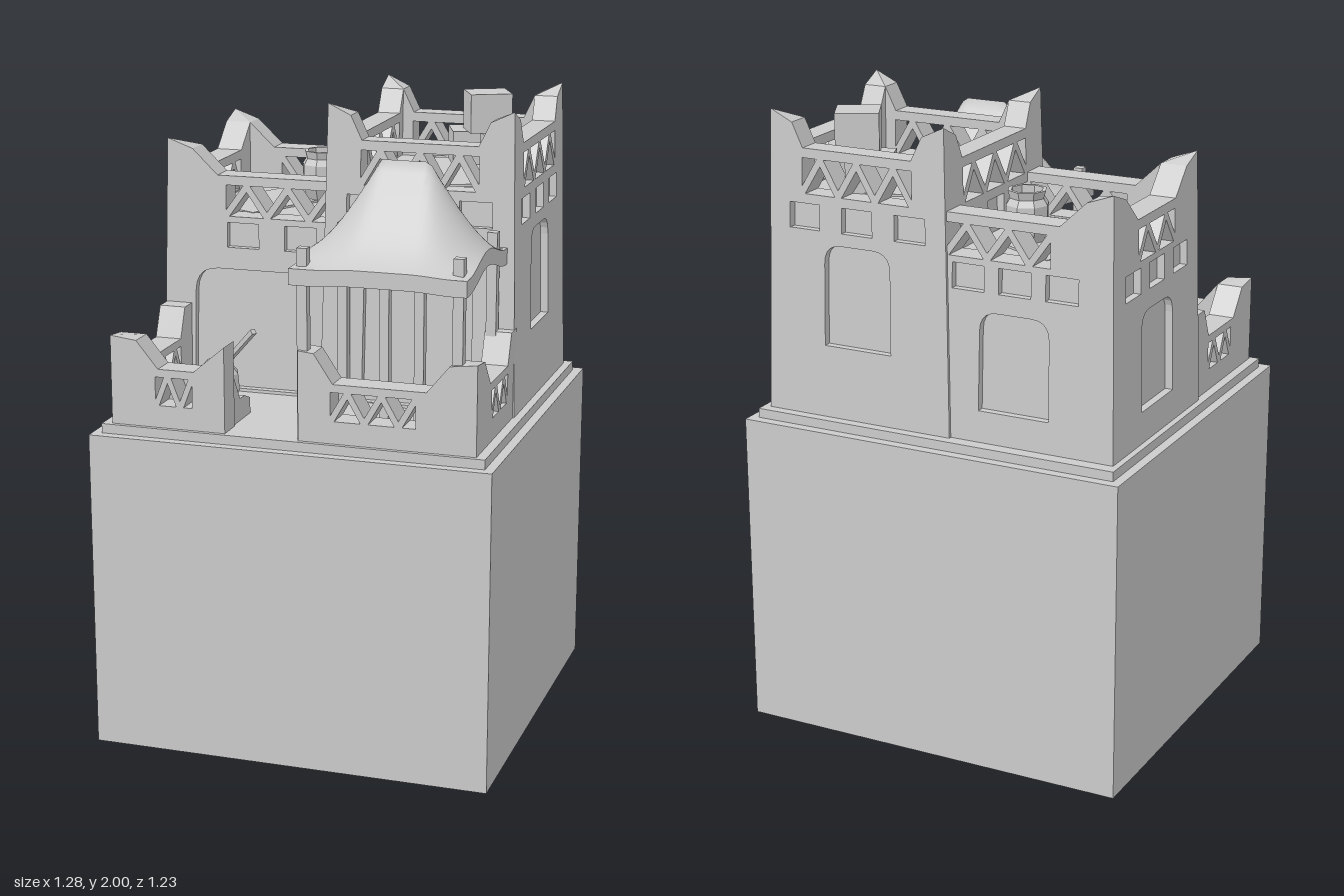
import * as THREE from 'three';

const mat = new THREE.MeshStandardMaterial({ color: 0xcccccc, side: THREE.DoubleSide });
const FLOOR = 1.05;

function add(parent, name, geo, x = 0, y = 0, z = 0, ry = 0) {
  const m = new THREE.Mesh(geo, mat);
  m.name = name;
  m.position.set(x, y, z);
  m.rotation.y = ry;
  parent.add(m);
  return m;
}
const box = (w, h, d) => new THREE.BoxGeometry(w, h, d);
const poly = (pts) => new THREE.Path(pts.map((p) => new THREE.Vector2(p[0], p[1])));

// Openings cut into walls
const rect = (u, w, y0, y1) => poly([[u - w / 2, y0], [u + w / 2, y0], [u + w / 2, y1], [u - w / 2, y1]]);
function arch(u, w, y0, y1, r = 0.06) {
  const p = new THREE.Path(), a = u - w / 2, b = u + w / 2;
  p.moveTo(a, y0).lineTo(b, y0).lineTo(b, y1 - r);
  p.quadraticCurveTo(b, y1, b - r, y1).lineTo(a + r, y1);
  p.quadraticCurveTo(a, y1, a, y1 - r).lineTo(a, y0);
  return p;
}
// Row of alternating triangular openings that leaves zigzag bars
function truss(u0, u1, y0, y1, n) {
  const s = (u1 - u0) / n, t = 0.012, holes = [];
  for (let i = 0; i <= n; i++) {
    const c = u0 + i * s, up = i % 2 === 1;
    const base = up ? y0 : y1, tip = up ? y1 - 0.2 * (y1 - y0) : y0 + 0.2 * (y1 - y0);
    const a = i === 0 ? c : c - s + t, b = i === n ? c : c + s - t;
    holes.push(poly([[a, base], [b, base], [c, tip]]));
  }
  return holes;
}

// Wall with its outer face on local z = 0. Ends: { peak, shoulder, flat, run, mitre }
function wallGeometry(w, t, rail, left, right, holes) {
  const h = w / 2, pts = [[-h, FLOOR - 0.01], [h, FLOOR - 0.01]];
  pts.push([h, right.peak]);
  if (right.flat) pts.push([h - right.flat, right.shoulder]);
  if (right.run) pts.push([h - right.flat - right.run, rail]);
  if (left.run) pts.push([-h + left.flat + left.run, rail]);
  if (left.flat) pts.push([-h + left.flat, left.shoulder]);
  pts.push([-h, left.peak]);
  const shape = new THREE.Shape(pts.map((p) => new THREE.Vector2(p[0], p[1])));
  shape.holes = holes;
  const geo = new THREE.ExtrudeGeometry(shape, { depth: t, bevelEnabled: false, curveSegments: 5 });
  geo.translate(0, 0, -t);
  // Mitre the inner corner so that horns of two walls meet in a hip
  const p = geo.attributes.position;
  for (let i = 0; i < p.count; i++) {
    if (p.getZ(i) > -t + 1e-4) continue;
    const u = p.getX(i);
    if (left.mitre && u < -h + t - 1e-5) p.setXY(i, -h + t, Math.min(p.getY(i), left.shoulder));
    if (right.mitre && u > h - t + 1e-5) p.setXY(i, h - t, Math.min(p.getY(i), right.shoulder));
  }
  return geo;
}

// Lean tower walls inwards with height
function taper(geo) {
  const p = geo.attributes.position;
  for (let i = 0; i < p.count; i++) {
    const s = 1 - 0.068 * (p.getY(i) - FLOOR) / 0.95;
    p.setX(i, p.getX(i) * s);
    p.setZ(i, p.getZ(i) * s);
  }
  geo.computeVertexNormals();
  return geo;
}

function tower(root, name, cx, cz, w, d, roof, walls) {
  const g = new THREE.Group();
  g.name = name;
  g.position.set(cx, 0, cz);
  root.add(g);
  const core = box(w - 0.05, roof - FLOOR, d - 0.05);
  core.translate(0, (roof + FLOOR) / 2, 0);
  add(g, 'towerCore', taper(core));
  for (const k of walls) {
    const geo = wallGeometry(k.turn % 2 ? d : w, k.t, k.rail, k.left, k.right, k.holes);
    geo.translate(0, 0, (k.turn % 2 ? w : d) / 2);
    geo.rotateY(k.turn * Math.PI / 2);
    add(g, k.name, taper(geo));
  }
}

function createModel() {
  const root = new THREE.Group();
  root.name = 'adobeHouse';

  // Hollow plinth, open underneath
  const base = box(1.28, 1.02, 1.23);
  const idx = Array.from(base.index.array);
  idx.splice(18, 6);
  base.setIndex(idx);
  add(root, 'plinth', base, 0, 0.51, 0);
  add(root, 'floorSlab', box(1.22, 0.03, 1.165), 0, 1.035, 0);

  // Tall tower
  const tall = { peak: 2.0, shoulder: 1.965, flat: 0.08, run: 0.04, mitre: true };
  const names = ['frontWall', 'leftWall', 'backWall', 'rightWall'];
  tower(root, 'tallTower', 0.2675, -0.2075, 0.635, 0.685, 1.745, [0, 1, 2, 3].map((turn) => {
    const r = turn % 2 ? 0.22 : 0.2;
    const holes = truss(-r, r, 1.75, 1.86, 6);
    for (const u of [-0.19, 0, 0.19]) holes.push(rect(u, 0.11, 1.64, 1.72));
    if (turn === 0) holes.push(arch(0, 0.36, 1.06, 1.53));
    else if (turn < 3) holes.push(arch(0, 0.235, 1.28, 1.6));
    return { name: names[turn], turn, t: 0.08, rail: 1.89, left: tall, right: tall, holes };
  }));

  // Low tower, running into the tall one
  const low = { peak: 1.86, shoulder: 1.83, flat: 0.09, run: 0.09, mitre: true };
  const plain = { peak: 1.75, flat: 0, run: 0 };
  const lowHoles = (a, b, n, wins) => [...truss(a, b, 1.62, 1.72, n), ...wins.map((u) => rect(u, 0.11, 1.52, 1.6))];
  tower(root, 'lowTower', -0.28, -0.215, 0.62, 0.65, 1.615, [
    { name: 'frontWall', turn: 0, t: 0.09, rail: 1.75, left: low, right: plain,
      holes: [...lowHoles(-0.1, 0.26, 5, [-0.04, 0.16]), arch(0.02, 0.45, 1.06, 1.45, 0.08)] },
    { name: 'backWall', turn: 2, t: 0.09, rail: 1.75, left: plain, right: low,
      holes: [...lowHoles(-0.26, 0.1, 5, [-0.18, -0.02, 0.14]), arch(-0.02, 0.235, 1.15, 1.46)] },
    { name: 'rightWall', turn: 3, t: 0.09, rail: 1.75, left: low, right: low,
      holes: [...lowHoles(-0.14, 0.14, 4, [-0.18, 0, 0.18]), arch(0, 0.235, 1.15, 1.46)] },
  ]);

  // Courtyard walls
  const corner = { peak: 1.33, shoulder: 1.32, flat: 0.085, run: 0.07, mitre: true };
  const gate = { peak: 1.32, flat: 0, run: 0.1 };
  const stub = { peak: 1.33, shoulder: 1.325, flat: 0.05, run: 0.06 };
  const joint = { peak: 1.33, shoulder: 1.33, flat: 0.065, run: 0.04 };
  const yard = (name, w, left, right, holes, x, z, ry) => {
    const geo = wallGeometry(w, 0.085, 1.235, left, right, holes);
    geo.computeVertexNormals();
    add(root, name, geo, x, 0, z, ry);
  };
  yard('courtyardFrontRight', 0.37, corner, gate, truss(-0.04, 0.08, 1.12, 1.21, 3), -0.395, 0.568, 0);
  yard('courtyardFrontLeft', 0.555, stub, corner, truss(-0.175, 0.09, 1.12, 1.21, 5), 0.3025, 0.568, 0);
  yard('courtyardLeft', 0.468, corner, joint, truss(-0.06, 0.13, 1.12, 1.21, 4), 0.58, 0.334, Math.PI / 2);
  yard('courtyardRight', 0.468, joint, corner, truss(-0.13, 0.06, 1.12, 1.21, 4), -0.58, 0.334, -Math.PI / 2);

  // Stepped bench behind the gate wall
  const seat = new THREE.Shape([[0.33, 1.05], [0.49, 1.05], [0.49, 1.2], [0.47, 1.2], [0.42, 1.12], [0.38, 1.12], [0.33, 1.1]]
    .map((p) => new THREE.Vector2(-p[0], p[1])));
  const bench = new THREE.ExtrudeGeometry(seat, { depth: 0.285, bevelEnabled: false });
  add(root, 'bench', bench, -0.5, 0, 0, Math.PI / 2);

  // Sagging cloth canopy, draped over a short ridge
  const cloth = new THREE.BoxGeometry(0.545, 0.05, 0.48, 28, 1, 24);
  const p = cloth.attributes.position;
  for (let i = 0; i < p.count; i++) {
    const ex = Math.max(0, Math.abs(p.getX(i) - 0.015) - 0.075);
    const r = Math.min(1, Math.hypot(ex, p.getZ(i)) / 0.28);
    p.setY(i, p.getY(i) + 1.855 - 0.295 * Math.sin(r * Math.PI / 2));
  }
  cloth.computeVertexNormals();
  add(root, 'canopy', cloth, 0.278, 0, 0.352);
  for (const x of [0.035, 0.515]) for (const z of [0.155, 0.54]) {
    add(root, 'canopyPost', box(0.032, 0.59, 0.032), x, FLOOR + 0.295, z);
  }
  for (const x of [0.235, 0.345]) add(root, 'ridgePost', box(0.03, 0.78, 0.03), x, FLOOR + 0.39, 0.36);

  // Rugs
  add(root, 'roofRugTall', box(0.2, 0.012, 0.473), 0.33, 1.746, -0.22, 0.345);
  add(root, 'roofRugLow', box(0.237, 0.012, 0.417), -0.32, 1.616, -0.215, -0.48);
  add(root, 'groundRug', box(0.4, 0.012, 0.24), 0.174, 1.052, 0.285, -0.35);

  // Crates stacked on the tall roof
  add(root, 'crateUpper', box(0.135, 0.125, 0.125), 0.357, 1.9225, -0.36, 0.46);
  add(root, 'crateLower', box(0.14, 0.115, 0.14), 0.3, 1.8025, -0.385, 0.38);
  add(root, 'crateLower', box(0.13, 0.115, 0.13), 0.435, 1.8025, -0.285, 0.5);

  // Faceted jars
  const jar = (name, pts, x, y, z) => {
    const geo = new THREE.LatheGeometry(pts.map((q) => new THREE.Vector2(q[0], q[1])), 8).toNonIndexed();
    geo.computeVertexNormals();
    add(root, name, geo, x, y, z);
  };
  jar('roofJar', [[0, 0], [0.05, 0], [0.068, 0.04], [0.068, 0.12], [0.055, 0.14], [0.062, 0.165], [0.05, 0.165], [0.045, 0.03], [0, 0.03]], -0.178, 1.615, -0.28);
  jar('courtyardPot', [[0, 0], [0.045, 0], [0.073, 0.05], [0.068, 0.1], [0.035, 0.14], [0, 0.145]], -0.35, FLOOR, 0.255);

  // Stick leaning from the pot
  const a = new THREE.Vector3(-0.34, 1.17, 0.22), b = new THREE.Vector3(-0.205, 1.31, 0.32);
  const stick = add(root, 'stick', box(0.016, 0.016, a.distanceTo(b)));
  stick.position.copy(a).lerp(b, 0.5);
  stick.lookAt(b);

  return root;
}

export { createModel };
